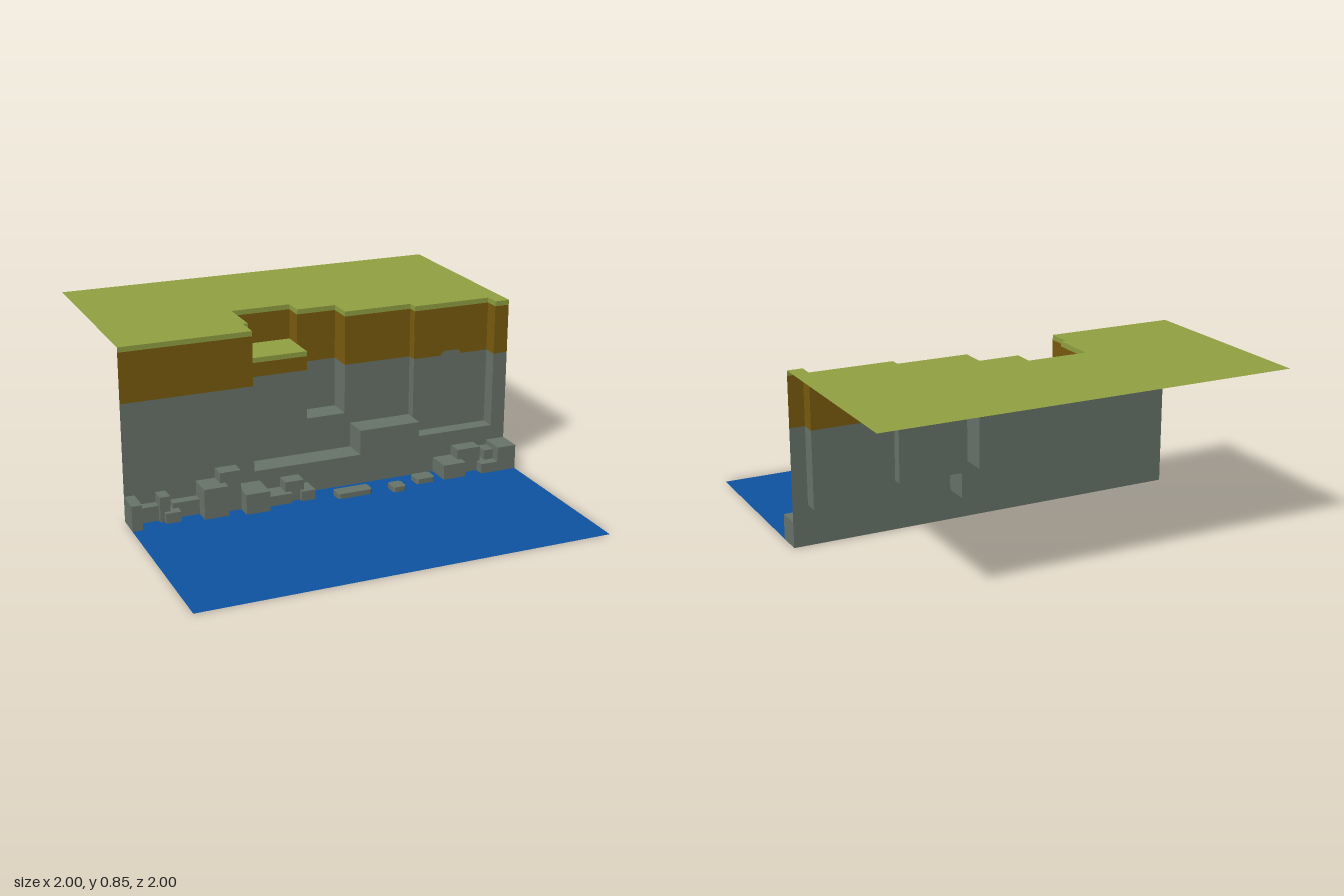
import * as THREE from 'three';

const mat = (name, color) => {
  const m = new THREE.MeshStandardMaterial({ color, side: THREE.DoubleSide });
  m.name = name;
  return m;
};

const TOP = 0.85, LIP = 0.025, ROCK_TOP = 0.58;

export function createModel() {
  const grass = mat('grass green', 0x92a142);
  const dirt = mat('earth brown', 0x7b5c0e);
  const rock = mat('rock grey', 0x68746a);
  const water = mat('water blue', 0x0d53a2);

  const model = new THREE.Group();
  model.name = 'coastalCliff';

  const add = (parent, name, geometry, material) => {
    const mesh = new THREE.Mesh(geometry, material);
    mesh.name = name;
    parent.add(mesh);
    return mesh;
  };

  // Vertical sheet from plan point a to b, facing the right-hand side of travel
  const sheet = (parent, name, [ax, az], [bx, bz], y0, y1, material) => {
    const g = new THREE.PlaneGeometry(Math.hypot(bx - ax, bz - az), y1 - y0);
    g.rotateY(-Math.atan2(bz - az, bx - ax));
    g.translate((ax + bx) / 2, (y0 + y1) / 2, (az + bz) / 2);
    add(parent, name, g, material);
  };

  // Cliff wall split into rock, earth and a grass lip
  const wall = (name, a, b, y0, y1 = TOP) => {
    const group = new THREE.Group();
    group.name = name;
    model.add(group);
    if (y0 < ROCK_TOP) sheet(group, 'rockLayer', a, b, y0, Math.min(y1, ROCK_TOP), rock);
    if (y1 > ROCK_TOP) {
      sheet(group, 'earthLayer', a, b, Math.max(y0, ROCK_TOP), y1 - LIP, dirt);
      sheet(group, 'grassLip', a, b, y1 - LIP, y1, grass);
    }
  };

  // Horizontal sheet facing up
  const floor = (name, x0, x1, z0, z1, y, material) => {
    const g = new THREE.PlaneGeometry(x1 - x0, z1 - z0).rotateX(-Math.PI / 2);
    g.translate((x0 + x1) / 2, y, (z0 + z1) / 2);
    add(model, name, g, material);
  };

  // Grass plateau, notched around the recesses
  const plan = [
    [-1, 0], [-0.355, 0], [-0.355, -0.125], [-0.33, -0.125], [-0.33, -0.35], [-0.03, -0.35],
    [-0.03, -0.25], [0.17, -0.25], [0.17, -0.125], [0.52, -0.125], [0.52, -0.075],
    [0.925, -0.075], [0.925, 0], [1, 0], [1, -1], [-1, -1],
  ];
  const plateau = new THREE.Shape(plan.map(([x, z]) => new THREE.Vector2(x, -z)));
  add(model, 'grassPlateau', new THREE.ShapeGeometry(plateau).rotateX(-Math.PI / 2).translate(0, TOP, 0), grass);
  floor('waterSurface', -1, 1, 0, 1, 0, water);

  // Front face of the cliff: x range and height
  [
    [-1, -0.355, TOP], [-0.355, 0.2, 0.15], [0.2, 0.52, 0.275],
    [0.52, 0.925, 0.2], [0.925, 1, TOP],
  ].forEach(([x0, x1, h]) => wall('frontWall', [x0, 0], [x1, 0], 0, h));

  // Wide main recess
  floor('lowerLedge', -0.355, 0.2, -0.125, 0, 0.15, rock);
  floor('raisedLedge', 0.2, 0.52, -0.125, 0, 0.275, rock);
  wall('ledgeStep', [0.2, 0], [0.2, -0.125], 0.15, 0.275);
  wall('recessLeftSide', [-0.355, 0], [-0.355, -0.125], 0.15);
  wall('recessBack', [-0.355, -0.125], [-0.33, -0.125], 0.15);
  wall('recessBack', [-0.33, -0.125], [-0.03, -0.125], 0.15, 0.675);
  wall('recessBack', [-0.03, -0.125], [0.17, -0.125], 0.15, 0.33);
  wall('recessBack', [0.17, -0.125], [0.2, -0.125], 0.15);
  wall('recessBack', [0.2, -0.125], [0.52, -0.125], 0.275);
  wall('recessRightSide', [0.52, -0.125], [0.52, -0.075], 0.275);

  // Shallow side recess with a bump of rock rising into the earth
  floor('sideLedge', 0.52, 0.925, -0.075, 0, 0.2, rock);
  wall('sideRecessStep', [0.52, 0], [0.52, -0.075], 0.2, 0.275);
  wall('sideRecessBack', [0.52, -0.075], [0.925, -0.075], 0.2);
  wall('sideRecessEnd', [0.925, -0.075], [0.925, 0], 0.2);
  const bump = new THREE.Shape([[0.665, 0.575], [0.775, 0.575], [0.772, 0.597], [0.755, 0.603], [0.69, 0.603], [0.67, 0.592]]
    .map(([x, y]) => new THREE.Vector2(x, y)));
  add(model, 'rockBump', new THREE.ShapeGeometry(bump).translate(0, 0, -0.072), rock);

  // Narrow deep chute
  floor('chuteFloor', -0.03, 0.17, -0.25, -0.125, 0.33, rock);
  wall('chuteLeftSide', [-0.03, -0.125], [-0.03, -0.25], 0.33, 0.675);
  wall('chuteBack', [-0.03, -0.25], [0.17, -0.25], 0.33);
  wall('chuteRightSide', [0.17, -0.25], [0.17, -0.125], 0.33);

  // Grassy upper shelf
  floor('grassShelf', -0.33, -0.03, -0.35, -0.125, 0.675, grass);
  wall('shelfLeftSide', [-0.33, -0.125], [-0.33, -0.35], 0.675);
  wall('shelfBack', [-0.33, -0.35], [-0.03, -0.35], 0.675);
  wall('shelfRightSide', [-0.03, -0.35], [-0.03, -0.25], 0.675);

  // Boulders along the foot: x range, reach in z, height
  [
    [-1, -0.95, 0.125, 0.125], [-0.95, -0.85, 0.05, 0.075], [-0.85, -0.8, 0.075, 0.125],
    [-0.83, -0.755, 0.1, 0.05], [-0.78, -0.65, 0.05, 0.075], [-0.65, -0.53, 0.125, 0.15],
    [-0.555, -0.45, 0.075, 0.2], [-0.45, -0.33, 0.147, 0.1], [-0.335, -0.2, 0.1, 0.05],
    [-0.225, -0.13, 0.075, 0.1], [-0.15, -0.08, 0.1, 0.05], [0.6, 0.72, 0.125, 0.075],
    [0.7, 0.825, 0.075, 0.125], [0.81, 0.9, 0.125, 0.05], [0.85, 0.9, 0.075, 0.1],
    [0.9, 1, 0.125, 0.125],
  ].forEach(([x0, x1, reach, h]) => {
    const g = new THREE.BoxGeometry(x1 - x0, h, reach);
    add(model, 'boulder', g.translate((x0 + x1) / 2, h / 2, reach / 2), rock);
  });

  // Flat stones in the water, with clipped corners
  [[0.02, 0.2, 0.075, 0.147], [0.3, 0.37, 0.1, 0.175], [0.45, 0.55, 0.05, 0.127]].forEach(([x0, x1, z0, z1]) => {
    const c = 0.01;
    const s = new THREE.Shape([
      [x0 + c, -z1], [x1 - c, -z1], [x1, -z1 + c], [x1, -z0 - c],
      [x1 - c, -z0], [x0 + c, -z0], [x0, -z0 - c], [x0, -z1 + c],
    ].map(([x, y]) => new THREE.Vector2(x, y)));
    const g = new THREE.ExtrudeGeometry(s, { depth: 0.025, bevelEnabled: false });
    add(model, 'flatStone', g.rotateX(-Math.PI / 2), rock);
  });

  return model;
}
